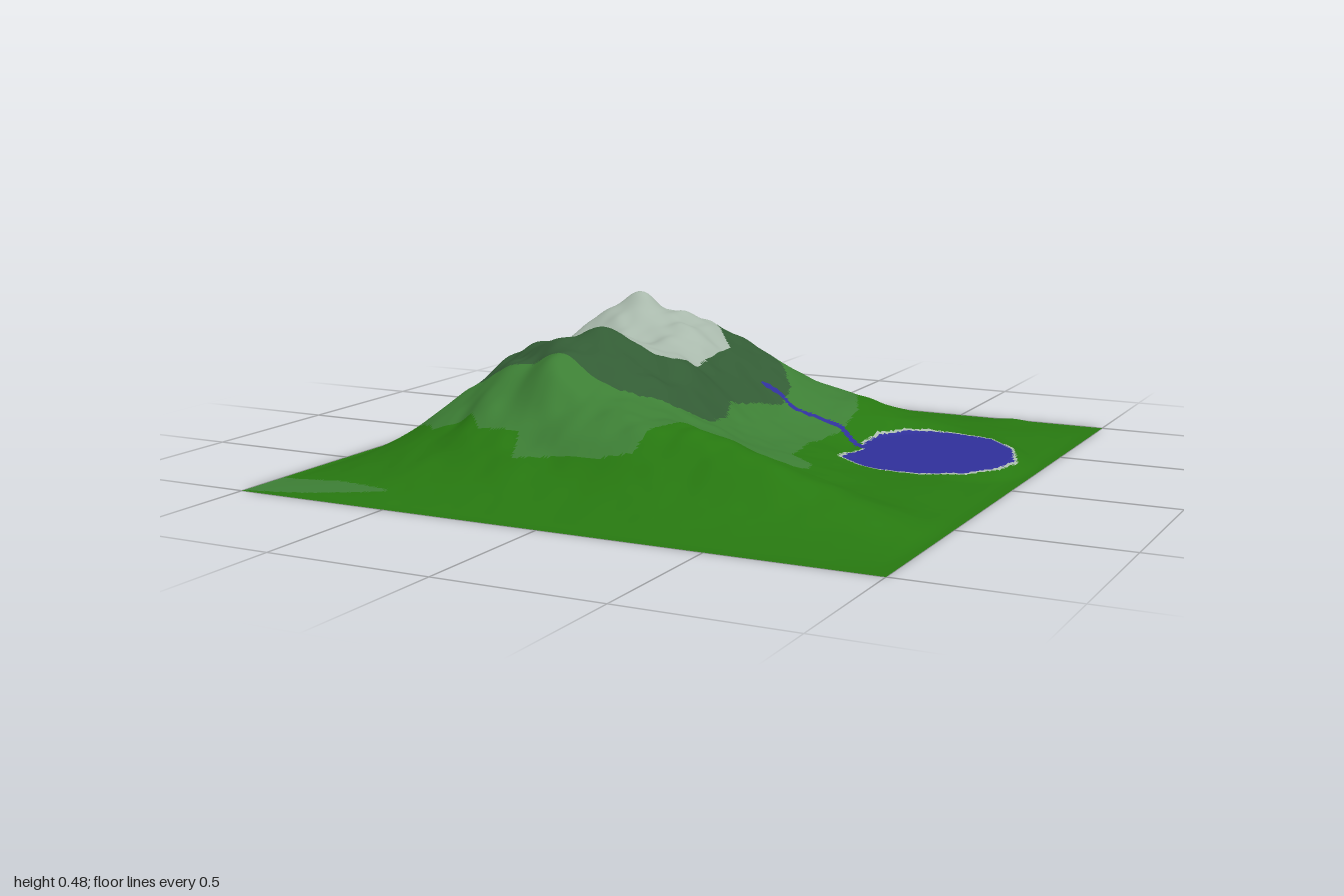
import * as THREE from 'three';

const N = 200; // grid cells per side

// Cross-sections from back (z = -1) to front (z = 1), heights at x = -1 ... 1 in steps of 0.2
const SECTIONS = [
  [0, 0, 0, 0, 0, 0, 0, 0, 0, 0, 0],
  [0, 0.02, 0.04, 0.07, 0.08, 0.07, 0.05, 0.04, 0.03, 0.02, 0],
  [0, 0.05, 0.11, 0.17, 0.21, 0.18, 0.14, 0.09, 0.05, 0.03, 0],
  [0, 0.09, 0.20, 0.33, 0.36, 0.28, 0.16, 0.09, 0.045, 0.03, 0],
  [0, 0.11, 0.28, 0.43, 0.41, 0.28, 0.13, 0.06, 0.035, 0.025, 0],
  [0, 0.11, 0.29, 0.34, 0.35, 0.29, 0.12, 0.06, 0.03, 0.02, 0],
  [0, 0.10, 0.28, 0.37, 0.39, 0.30, 0.14, 0.08, 0.04, 0.025, 0],
  [0, 0.09, 0.24, 0.34, 0.35, 0.28, 0.19, 0.12, 0.06, 0.03, 0],
  [0, 0.06, 0.13, 0.20, 0.22, 0.23, 0.22, 0.19, 0.135, 0.07, 0],
  [0, 0.02, 0.05, 0.07, 0.08, 0.08, 0.08, 0.07, 0.05, 0.03, 0],
  [0, 0, 0, 0, 0, 0, 0, 0, 0, 0, 0],
];

// Local crags and knolls: x, z, height, radius
const CRAGS = [
  [-0.34, -0.23, 0.045, 0.06], [-0.22, 0.25, 0.025, 0.07], [-0.2, -0.3, 0.02, 0.05],
  [-0.27, 0.48, 0.05, 0.08], [-0.48, -0.15, 0.02, 0.06], [0.72, -0.92, 0.012, 0.08],
];

// Outlines of the ground cover seen on plan, as x, z pairs
const SNOW = [-0.3, -0.44, -0.17, -0.41, -0.1, -0.33, -0.03, -0.25, -0.03, -0.12, -0.02, 0.02, -0.04, 0.12,
  -0.12, 0.19, -0.25, 0.22, -0.38, 0.23, -0.45, 0.18, -0.52, 0.1, -0.58, -0.04, -0.59, -0.1, -0.54, -0.16,
  -0.53, -0.25, -0.46, -0.34, -0.37, -0.38];
const FOREST = [-0.27, -0.58, -0.09, -0.55, 0, -0.47, 0.08, -0.42, 0.15, -0.33, 0.17, -0.22, 0.14, -0.1,
  0.11, 0.03, 0.15, 0.15, 0.16, 0.28, 0.09, 0.38, -0.06, 0.44, -0.23, 0.44, -0.39, 0.42, -0.53, 0.4,
  -0.63, 0.33, -0.67, 0.2, -0.64, 0.06, -0.7, -0.07, -0.71, -0.25, -0.65, -0.38, -0.54, -0.44, -0.47, -0.54];
const SLOPE = [-0.23, -0.78, 0, -0.71, 0.18, -0.65, 0.28, -0.58, 0.35, -0.42, 0.36, -0.25, 0.34, -0.05,
  0.38, 0.18, 0.46, 0.21, 0.48, 0.28, 0.42, 0.37, 0.32, 0.46, 0.2, 0.52, 0.15, 0.6, 0.13, 0.7, 0.02, 0.72,
  -0.1, 0.72, -0.24, 0.74, -0.27, 0.65, -0.42, 0.64, -0.48, 0.57, -0.62, 0.57, -0.75, 0.47, -0.82, 0.33,
  -0.78, 0.1, -0.83, -0.1, -0.85, -0.35, -0.78, -0.52, -0.68, -0.58, -0.48, -0.6, -0.42, -0.65, -0.5, -0.72,
  -0.63, -0.77, -0.85, -0.77, -0.95, -0.79, -0.95, -0.86, -0.8, -0.89, -0.62, -0.87, -0.45, -0.82,
  -0.31, -0.76, -0.3, -0.73];
const CORNER = [-1, 0.81, -0.8, 0.83, -0.55, 0.89, -0.75, 0.93, -1, 0.99];
const LAKE = [0.65, -0.51, 0.77, -0.49, 0.87, -0.4, 0.93, -0.25, 0.91, -0.15, 0.84, -0.05, 0.72, 0.01,
  0.55, 0.02, 0.46, -0.01, 0.44, -0.12, 0.46, -0.2, 0.43, -0.28, 0.44, -0.38, 0.5, -0.46, 0.57, -0.5];
const RIVER = [0.1, -0.24, 0.14, -0.26, 0.2, -0.25, 0.27, -0.27, 0.35, -0.275, 0.41, -0.25, 0.46, -0.22];

function inside(poly, x, z) {
  let hit = false;
  for (let i = 0, j = poly.length - 2; i < poly.length; j = i, i += 2) {
    const [ax, az, bx, bz] = [poly[i], poly[i + 1], poly[j], poly[j + 1]];
    if (az > z !== bz > z && x < ((bx - ax) * (z - az)) / (bz - az) + ax) hit = !hit;
  }
  return hit;
}

function nearRiver(x, z) {
  for (let i = 0; i < RIVER.length - 2; i += 2) {
    const dx = RIVER[i + 2] - RIVER[i], dz = RIVER[i + 3] - RIVER[i + 1];
    const t = THREE.MathUtils.clamp(((x - RIVER[i]) * dx + (z - RIVER[i + 1]) * dz) / (dx * dx + dz * dz), 0, 1);
    if (Math.hypot(x - RIVER[i] - t * dx, z - RIVER[i + 1] - t * dz) < 0.009 + 0.02 * Math.max(0, x - 0.2)) return true;
  }
  return false;
}

// Smooth curve through evenly spaced values
function spline(values, u) {
  const last = values.length - 1, i = Math.min(Math.floor(u), last - 1), t = u - i;
  const [a, b, c, d] = [-1, 0, 1, 2].map((k) => values[THREE.MathUtils.clamp(i + k, 0, last)]);
  return b + 0.5 * t * (c - a + t * (2 * a - 5 * b + 4 * c - d + t * (3 * (b - c) + d - a)));
}

function hash(i, j) {
  const s = Math.sin(i * 127.1 + j * 311.7) * 43758.5453;
  return s - Math.floor(s);
}

function noise(x, z) {
  const i = Math.floor(x), j = Math.floor(z);
  const u = THREE.MathUtils.smoothstep(x - i, 0, 1), v = THREE.MathUtils.smoothstep(z - j, 0, 1);
  const { lerp } = THREE.MathUtils;
  return lerp(lerp(hash(i, j), hash(i + 1, j), u), lerp(hash(i, j + 1), hash(i + 1, j + 1), u), v);
}

function height(x, z) {
  let y = spline(SECTIONS.map((row) => spline(row, (x + 1) * 5)), (z + 1) * 5);
  for (const [cx, cz, h, r] of CRAGS) y += h * Math.exp(-((x - cx) ** 2 + (z - cz) ** 2) / (r * r));
  // Creases grow with height
  const rough = (noise(x * 9, z * 9) - 0.5) * 0.1 + (noise(x * 19 + 7, z * 19) - 0.5) * 0.05;
  y *= 1 + rough;
  // Level lake basin, and a flat border
  const basin = 1 - THREE.MathUtils.smoothstep(Math.hypot(x - 0.67, z + 0.25), 0.24, 0.33);
  y = THREE.MathUtils.lerp(y, 0.033 - 0.03 * (z + 0.25), basin);
  return Math.max(0, y) * THREE.MathUtils.smoothstep(1 - Math.max(Math.abs(x), Math.abs(z)), 0, 0.07);
}

function coverAt(x, z) {
  if (inside(LAKE, x, z)) return 'lake';
  if (nearRiver(x, z)) return 'river';
  if (inside(LAKE, 0.67 + (x - 0.67) / 1.04, -0.25 + (z + 0.25) / 1.04)) return 'lakeShore';
  if (inside(SNOW, x, z)) return 'snowCap';
  if (inside(FOREST, x, z)) return 'upperSlope';
  if (inside(SLOPE, x, z) || inside(CORNER, x, z)) return 'middleSlope';
  return 'grassland';
}

export function createModel() {
  const group = new THREE.Group();
  group.name = 'mountainTerrain';

  const material = (name, color) => {
    const m = new THREE.MeshStandardMaterial({ color, side: THREE.DoubleSide });
    m.name = name;
    return m;
  };
  const water = material('waterBlue', 0x30309a);
  const rock = material('paleSnow', 0xa9b9ac);
  const materials = {
    lake: water, river: water, lakeShore: rock, snowCap: rock,
    upperSlope: material('darkGreen', 0x335c35),
    middleSlope: material('softGreen', 0x3d7f35),
    grassland: material('grassGreen', 0x277810),
  };

  // Height field
  const land = new THREE.PlaneGeometry(2, 2, N, N).rotateX(-Math.PI / 2);
  const pos = land.attributes.position;
  for (let i = 0; i < pos.count; i++) pos.setY(i, height(pos.getX(i), pos.getZ(i)));
  land.computeVertexNormals();

  // Sort the faces into one mesh per ground cover
  const faces = Object.fromEntries(Object.keys(materials).map((k) => [k, []]));
  const index = land.index.array;
  for (let f = 0; f < index.length; f += 3) {
    const [a, b, c] = [index[f], index[f + 1], index[f + 2]];
    const x = (pos.getX(a) + pos.getX(b) + pos.getX(c)) / 3;
    const z = (pos.getZ(a) + pos.getZ(b) + pos.getZ(c)) / 3;
    faces[coverAt(x, z)].push(a, b, c);
  }
  for (const [name, list] of Object.entries(faces)) {
    const part = new THREE.BufferGeometry();
    part.setAttribute('position', pos);
    part.setAttribute('normal', land.attributes.normal);
    part.setIndex(list);
    const mesh = new THREE.Mesh(part.toNonIndexed(), materials[name]);
    mesh.name = name;
    group.add(mesh);
  }
  return group;
}
